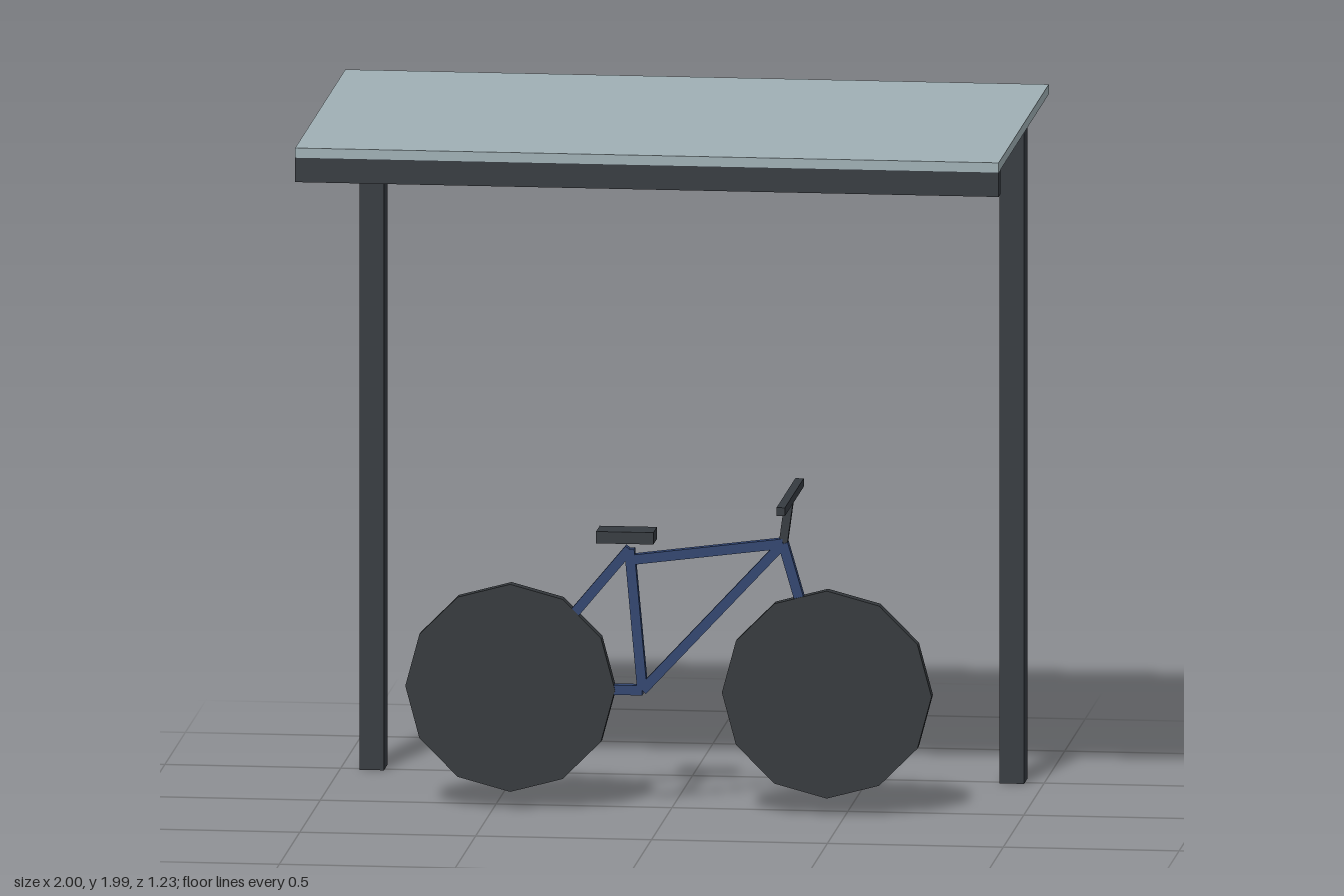
import * as THREE from 'three';

const flat = (name, color) => {
  const m = new THREE.MeshStandardMaterial({ color });
  m.name = name;
  return m;
};

export function createModel() {
  const steel = flat('dark steel', 0x353a40);
  const roofGrey = flat('pale roof grey', 0x9fafb4);
  const blue = flat('frame blue', 0x30446f);
  const rubber = flat('dark rubber', 0x34383c);

  const box = (parent, name, mat, size, pos) => {
    const mesh = new THREE.Mesh(new THREE.BoxGeometry(...size), mat);
    mesh.name = name;
    mesh.position.set(...pos);
    parent.add(mesh);
    return mesh;
  };

  const model = new THREE.Group();
  model.name = 'bikeShelter';

  // Shelter: roof sheet, front beam, rear posts and side beams
  const shelter = new THREE.Group();
  shelter.name = 'shelter';
  model.add(shelter);
  box(shelter, 'roof', roofGrey, [2, 0.028, 1.226], [0, 1.972, 0]);
  box(shelter, 'frontBeam', steel, [2, 0.07, 0.044], [0, 1.923, 0.591]);
  for (const [side, s] of [['left', 1], ['right', -1]]) {
    box(shelter, side + 'Post', steel, [0.07, 1.958, 0.088], [s * 0.91, 0.979, -0.525]);
    box(shelter, side + 'SideBeam', steel, [0.06, 0.07, 1.07], [s * 0.91, 1.923, 0.035]);
  }

  // Bicycle, standing in the plane z = 0.07 and facing +x
  const bike = new THREE.Group();
  bike.name = 'bicycle';
  bike.position.z = 0.07;
  model.add(bike);

  // Square bar between two points in the plane of the bicycle
  const bar = (name, mat, a, b, width) => {
    const dx = b[0] - a[0], dy = b[1] - a[1];
    const mesh = box(bike, name, mat, [Math.hypot(dx, dy), width, width],
      [(a[0] + b[0]) / 2, (a[1] + b[1]) / 2, 0]);
    mesh.rotation.z = Math.atan2(dy, dx);
  };

  const rearHub = [-0.45, 0.35], frontHub = [0.45, 0.35];
  const crank = [-0.075, 0.35], seatTop = [-0.112, 0.755], head = [0.325, 0.78];
  bar('chainStay', blue, rearHub, crank, 0.028);
  bar('seatStay', blue, rearHub, seatTop, 0.028);
  bar('seatTube', blue, crank, seatTop, 0.028);
  bar('topTube', blue, [-0.108, 0.724], head, 0.028);
  bar('downTube', blue, crank, head, 0.028);
  bar('fork', blue, head, frontHub, 0.028);
  bar('stem', steel, head, [0.344, 0.92], 0.024);
  box(bike, 'handlebar', steel, [0.024, 0.024, 0.46], [0.344, 0.912, 0]);
  box(bike, 'seat', steel, [0.163, 0.034, 0.09], [-0.121, 0.793, 0]);

  // Solid twelve-sided wheels
  const wheelGeo = new THREE.CylinderGeometry(0.298, 0.298, 0.036, 12).rotateX(Math.PI / 2).toNonIndexed();
  wheelGeo.computeVertexNormals();
  for (const [name, hub] of [['rearWheel', rearHub], ['frontWheel', frontHub]]) {
    const wheel = new THREE.Mesh(wheelGeo, rubber);
    wheel.name = name;
    wheel.position.set(hub[0], hub[1], 0);
    bike.add(wheel);
  }

  return model;
}
